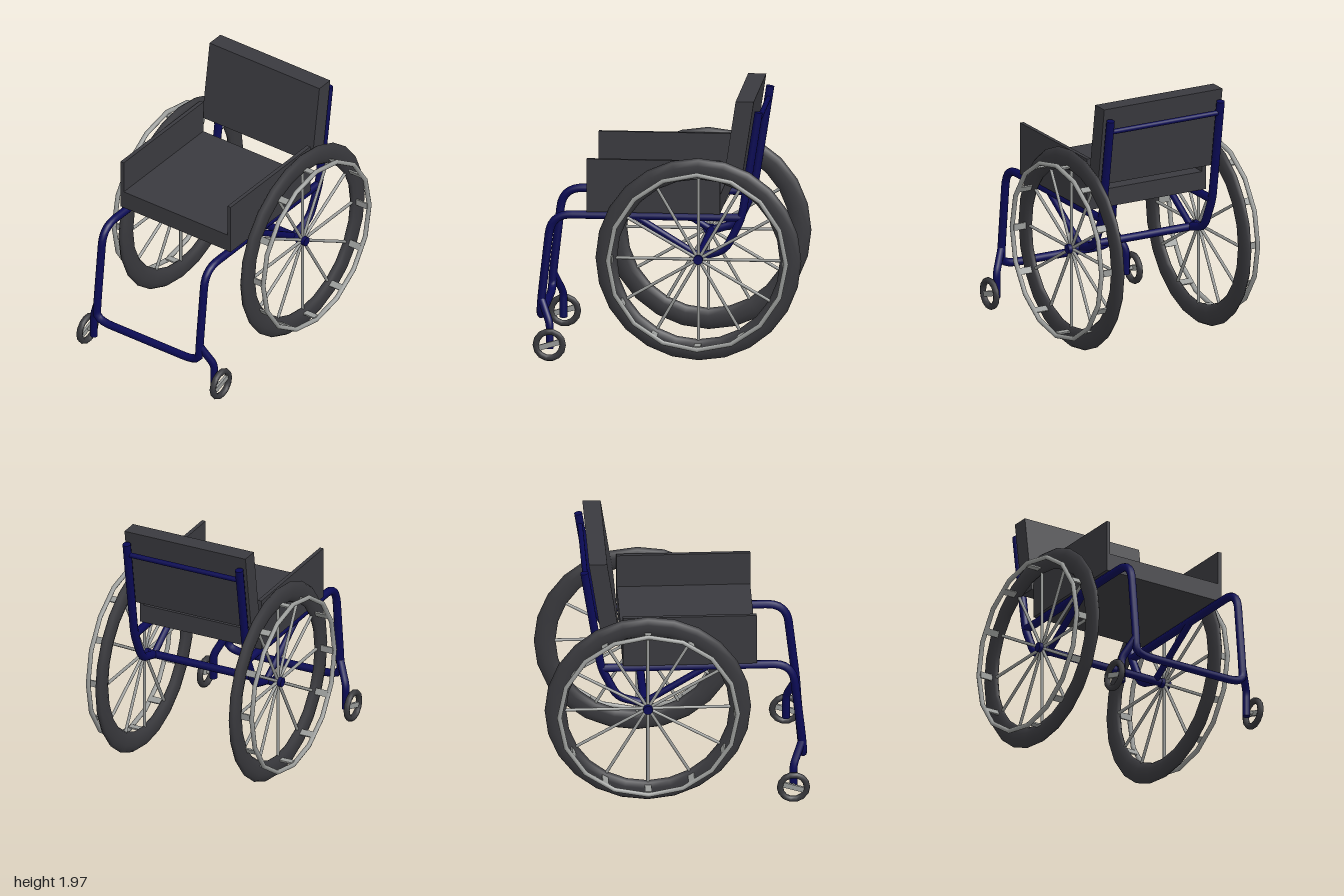
import * as THREE from 'three';

const mat = (name, color) => Object.assign(new THREE.MeshStandardMaterial({ color }), { name });

export function createModel() {
  const model = new THREE.Group();
  model.name = 'wheelchair';
  const fabric = mat('charcoal upholstery', 0x3a3a3f);
  const rubber = mat('dark rubber', 0x38383c);
  const paint = mat('navy frame paint', 0x0a0a55);
  const metal = mat('grey metal', 0x999b99);
  const V = (x, y, z) => new THREE.Vector3(x, y, z);

  function add(parent, name, geometry, material, x = 0, y = 0, z = 0) {
    const m = new THREE.Mesh(geometry, material);
    m.name = name;
    m.position.set(x, y, z);
    parent.add(m);
    return m;
  }

  // Capped tube through corner points, each corner rounded off by "trim"
  function pipe(name, pts, radius, trim = 0.08, segments = 40) {
    const path = new THREE.CurvePath();
    let from = pts[0];
    for (let i = 1; i < pts.length - 1; i++) {
      const p = pts[i];
      const cut = (q) => {
        const d = q.clone().sub(p);
        return p.clone().add(d.setLength(Math.min(trim, d.length() * 0.45)));
      };
      const a = cut(pts[i - 1]), b = cut(pts[i + 1]);
      path.add(new THREE.LineCurve3(from, a));
      path.add(new THREE.QuadraticBezierCurve3(a, p, b));
      from = b;
    }
    const end = pts[pts.length - 1];
    path.add(new THREE.LineCurve3(from, end));
    const group = new THREE.Group();
    group.name = name;
    model.add(group);
    add(group, name + 'Tube', new THREE.TubeGeometry(path, pts.length > 2 ? segments : 1, radius, 10), paint);
    for (const [p, q] of [[pts[0], pts[1]], [end, pts[pts.length - 2]]]) {
      const cap = add(group, name + 'Cap', new THREE.CircleGeometry(radius, 10), paint);
      cap.position.copy(p);
      cap.lookAt(p.clone().multiplyScalar(2).sub(q));
    }
  }

  // Seat, side panels and leaning backrest
  add(model, 'seat', new THREE.BoxGeometry(1.01, 0.14, 0.99), fabric, 0, 1.19, 0.105);
  for (const s of [1, -1])
    add(model, 'sidePanel', new THREE.BoxGeometry(0.03, 0.4, 0.992), fabric, s * 0.492, 1.32, 0.105);
  const back = new THREE.BoxGeometry(1.01, 0.615, 0.135);
  const bp = back.attributes.position;
  for (let i = 0; i < bp.count; i++) bp.setZ(i, bp.getZ(i) - bp.getY(i) * 0.152);
  back.computeVertexNormals();
  add(model, 'backrest', back, fabric, 0, 1.667, -0.528);

  // One continuous tube: seat rails, front legs and foot bar
  const X = 0.47;
  const half = [V(X, 1.09, -0.55), V(X, 1.09, 0.867), V(X, 0.45, 0.94), V(X, 0.31, 0.947)];
  const mirrored = half.map((p) => V(-p.x, p.y, p.z)).reverse();
  pipe('mainFrame', [...half, ...mirrored], 0.031, 0.15, 140);

  // Back posts, braces and caster forks
  for (const s of [1, -1]) {
    pipe('backPost', [V(s * X, 0.79, -0.24), V(s * X, 0.845, -0.43), V(s * X, 1.09, -0.55),
      V(s * X, 1.89, -0.675)], 0.031, 0.07);
    pipe('brace', [V(s * X, 0.79, -0.24), V(s * X, 1.08, 0.23)], 0.025);
    pipe('casterFork', [V(s * X, 0.45, 0.94), V(s * 0.553, 0.28, 0.87), V(s * 0.553, 0.09, 0.87)], 0.029, 0.04);
  }
  pipe('backCrossBar', [V(-X, 1.8, -0.662), V(X, 1.8, -0.662)], 0.02);
  pipe('axle', [V(-0.54, 0.79, -0.235), V(0.54, 0.79, -0.235)], 0.03);

  // Drive wheel, built around local z and then turned outward
  function driveWheel(s) {
    const w = new THREE.Group();
    w.name = s > 0 ? 'leftDriveWheel' : 'rightDriveWheel';
    add(w, 'tire', new THREE.TorusGeometry(0.685, 0.08, 10, 24), rubber).scale.z = 0.42;
    add(w, 'handRim', new THREE.TorusGeometry(0.662, 0.018, 8, 16), metal, 0, 0, 0.126);
    add(w, 'hub', new THREE.CylinderGeometry(0.036, 0.036, 0.08, 12), paint).rotation.x = Math.PI / 2;
    for (let i = 0; i < 12; i++) {
      const arm = new THREE.Group();
      arm.name = 'spokeArm';
      arm.rotation.z = (i * Math.PI) / 6;
      add(arm, 'spoke', new THREE.CylinderGeometry(0.012, 0.012, 0.62, 8), metal, 0, 0.31, 0);
      add(arm, 'rimBracket', new THREE.BoxGeometry(0.05, 0.012, 0.11), metal, 0, 0.64, 0.07);
      w.add(arm);
    }
    w.position.set(s * 0.55, 0.787, s > 0 ? -0.235 : -0.208);
    w.rotation.y = (s * Math.PI) / 2;
    model.add(w);
  }

  // Small front caster with a flat crossbar and a stub axle
  function caster(s) {
    const c = new THREE.Group();
    c.name = s > 0 ? 'leftCaster' : 'rightCaster';
    add(c, 'casterTire', new THREE.TorusGeometry(0.1, 0.024, 8, 14), rubber);
    add(c, 'casterBar', new THREE.BoxGeometry(0.17, 0.04, 0.02), metal).rotation.z = s * 0.3;
    add(c, 'casterAxle', new THREE.CylinderGeometry(0.014, 0.014, 0.07, 8), metal, 0, 0, -0.03).rotation.x = Math.PI / 2;
    c.position.set(s * 0.613, 0.13, 0.868);
    c.rotation.y = (s * Math.PI) / 2;
    model.add(c);
  }

  for (const s of [1, -1]) {
    driveWheel(s);
    caster(s);
  }
  return model;
}
